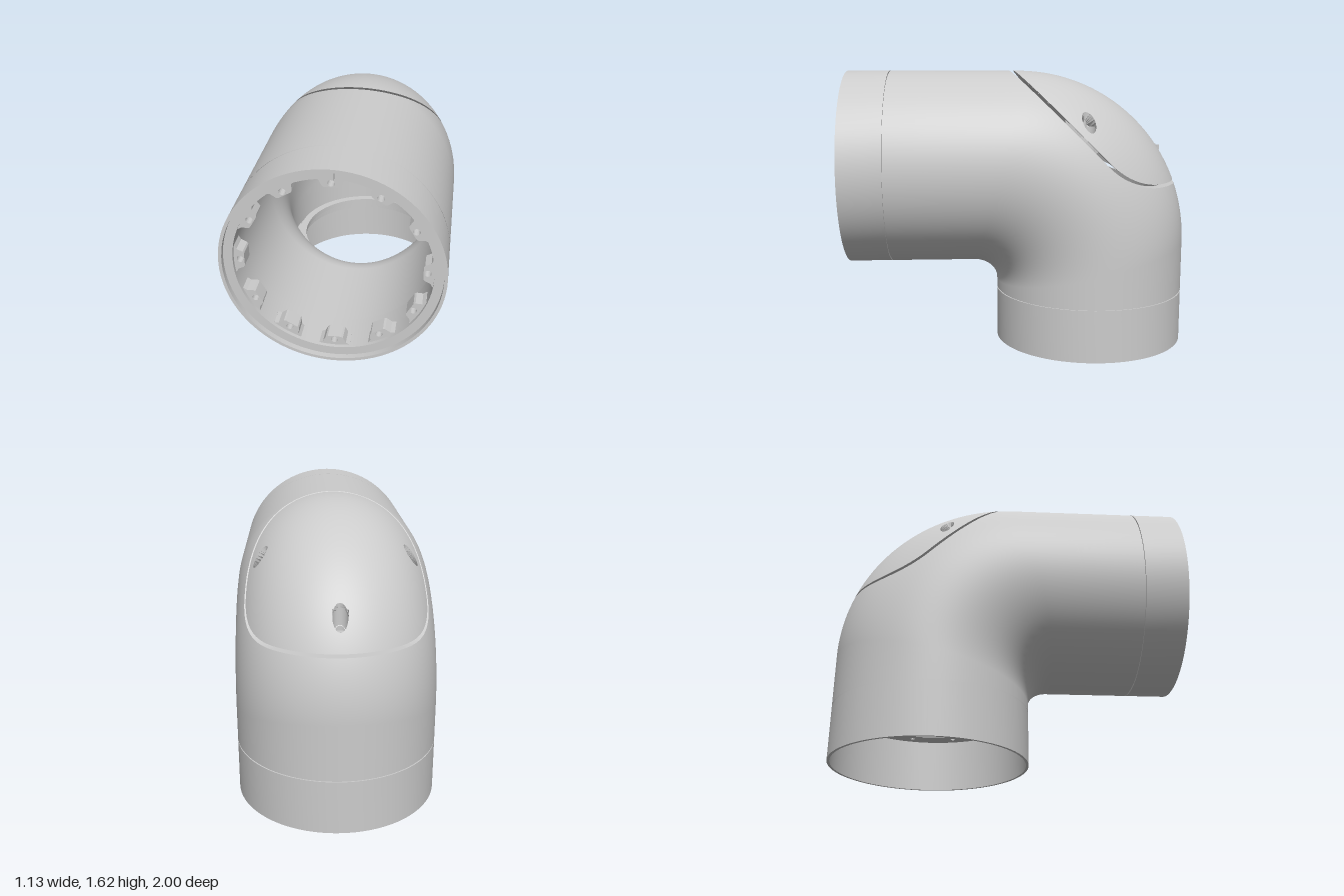
import * as THREE from 'three';
import { toCreasedNormals } from 'three/addons/utils/BufferGeometryUtils.js';

const R = 0.565, WALL = 0.06, INNER = (R - WALL) / R;
const AXIS_Y = 1.055, AXIS_Z = -0.435;
const mat = new THREE.MeshStandardMaterial({ color: 0xcccccc, side: THREE.DoubleSide });
const V = (x, y, z) => new THREE.Vector3(x, y, z);
const HOLES = [[0, -0.85], [0.41, -0.37], [-0.41, -0.37]];

function add(parent, name, geometry, x = 0, y = 0, z = 0) {
  const m = new THREE.Mesh(geometry, mat);
  m.name = name;
  m.position.set(x, y, z);
  parent.add(m);
  return m;
}

// Pipe surface: s 0..1 front straight, 1..2 bend, 2..3 lower straight; a is the angle round the pipe
function pipePoint(s, a, k) {
  const t = THREE.MathUtils.clamp(s - 1, 0, 1) * Math.PI / 2;
  const f = Math.max(0, 1 - s), b = Math.max(0, s - 2);
  const inn = V(0, 0.36 + 0.13 * Math.cos(t), 0.27 - 0.14 * Math.sin(t));
  const out = V(0, 0.62 + Math.cos(t), -Math.sin(t));
  inn.z += f * (0.75 - inn.z);
  out.z += f * (0.75 - out.z);
  inn.y += b * (0.31 - inn.y);
  out.y += b * (0.31 - out.y);
  const mid = inn.clone().add(out).multiplyScalar(0.5);
  const p = mid.clone().addScaledVector(out.sub(mid), k * Math.cos(a));
  p.x = R * k * Math.sin(a);
  return p;
}

function pipeVertex(s, a, k) {
  const e = 1e-4;
  const da = pipePoint(s, a + e, k).sub(pipePoint(s, a - e, k));
  const ds = pipePoint(s + e, a, k).sub(pipePoint(s - e, a, k));
  return { p: pipePoint(s, a, k), n: da.cross(ds).normalize() };
}

function pipeTriangles(rows, a0, a1, cols, k) {
  const grid = rows.map(s => Array.from({ length: cols + 1 }, (_, j) => pipeVertex(s, a0 + (a1 - a0) * j / cols, k)));
  const tris = [];
  for (let i = 0; i + 1 < rows.length; i++) for (let j = 0; j < cols; j++) {
    const a = grid[i][j], b = grid[i][j + 1], c = grid[i + 1][j + 1], d = grid[i + 1][j];
    tris.push([a, b, c], [a, c, d]);
  }
  return tris;
}

// Keep the part of the surface where f > 0 and note the cut edges
function clip(tris, f, edges) {
  const kept = [];
  for (const tri of tris) {
    const d = tri.map(v => f(v.p)), poly = [], cut = [];
    for (let i = 0; i < 3; i++) {
      const j = (i + 1) % 3;
      if (d[i] >= 0) poly.push(tri[i]);
      if ((d[i] >= 0) !== (d[j] >= 0)) {
        const t = d[i] / (d[i] - d[j]);
        const v = { p: tri[i].p.clone().lerp(tri[j].p, t), n: tri[i].n.clone().lerp(tri[j].n, t).normalize() };
        poly.push(v);
        cut.push(v);
      }
    }
    for (let i = 1; i + 1 < poly.length; i++) kept.push([poly[0], poly[i], poly[i + 1]]);
    if (cut.length === 2) edges.push([cut[0], cut[1], f]);
  }
  return kept;
}

// Move a cut point through the wall while staying on the cut
function throughWall(v, f) {
  const e = 1e-4;
  const g = V(...['x', 'y', 'z'].map(c => {
    const q = v.p.clone(), r = v.p.clone();
    q[c] += e;
    r[c] -= e;
    return f(q) - f(r);
  })).normalize();
  const c = v.n.dot(g);
  const dir = v.n.clone().negate().addScaledVector(g, c);
  return v.p.clone().addScaledVector(dir, WALL / Math.max(0.2, 1 - c * c));
}

function toGeometry(tris, sign) {
  const pos = [], nor = [];
  for (const t of tris) for (const v of sign > 0 ? t : [t[0], t[2], t[1]]) {
    pos.push(v.p.x, v.p.y, v.p.z);
    nor.push(v.n.x * sign, v.n.y * sign, v.n.z * sign);
  }
  const g = new THREE.BufferGeometry();
  g.setAttribute('position', new THREE.Float32BufferAttribute(pos, 3));
  g.setAttribute('normal', new THREE.Float32BufferAttribute(nor, 3));
  return g;
}

function shell(parent, name, rows, a0, a1, cols, cuts) {
  const group = new THREE.Group();
  group.name = name;
  parent.add(group);
  for (const [label, k, sign] of [['OuterSkin', 1, 1], ['InnerSkin', INNER, -1]]) {
    let tris = pipeTriangles(rows, a0, a1, cols, k);
    const edges = [];
    for (const f of cuts) tris = clip(tris, f, edges);
    add(group, name + label, toGeometry(tris, sign));
    if (sign < 0) continue;
    const pts = [];
    for (const [a, b, f] of edges) {
      const c = throughWall(b, f), d = throughWall(a, f);
      pts.push(a.p, b.p, c, a.p, c, d);
    }
    const g = new THREE.BufferGeometry().setFromPoints(pts);
    g.computeVertexNormals();
    add(group, name + 'CutEdge', g);
  }
}

// Lid outline: a 45 degree line blended into a level one, cut straight across
function seam(p) {
  const a = (p.y - p.z - 1.58) / Math.SQRT2, b = p.y - 0.97, k = 0.14;
  const h = Math.max(k - Math.abs(a - b), 0) / k;
  return Math.min(a, b) - h * h * k / 4;
}

const range = (a, b, n) => Array.from({ length: n }, (_, i) => a + (b - a) * i / n);
const lathe = pts => toCreasedNormals(
  new THREE.LatheGeometry([...pts, pts[0]].map(p => new THREE.Vector2(...p)), 96), 0.6);
const circle = (x, y, r) => new THREE.Path().absarc(x, y, r, 0, Math.PI * 2, true);
const plate = (shape, depth, seg = 24) =>
  new THREE.ExtrudeGeometry(shape, { depth, bevelEnabled: false, curveSegments: seg });

export function createModel() {
  const model = new THREE.Group();
  model.name = 'pipeElbow';

  // Bent body and the lid over its outer corner
  const bodyRows = [...range(0, 1, 12), ...range(1, 2, 60), ...range(2, 3, 4), 3];
  shell(model, 'elbowBody', bodyRows, -Math.PI, Math.PI, 96, [p => -seam(p) - 0.009]);
  const holeCuts = HOLES.map(([x, z]) => p => Math.hypot(p.x - x, p.z - z) - 0.04);
  shell(model, 'lid', [...range(0.85, 1.85, 110), 1.85], -1.85, 1.85, 150, [p => seam(p) - 0.009, ...holeCuts]);

  // Screw bosses under the lid
  HOLES.forEach(([x, z], i) => {
    const [low, floor, top] = i ? [1.115, 1.19, 1.31] : [1.0, 1.06, 1.18];
    const start = [-Math.PI / 2, Math.PI, 0][i];
    add(model, 'screwBoss', new THREE.CylinderGeometry(0.042, 0.042, top - low, 16, 1, true, start, Math.PI), x, (top + low) / 2, z);
    if (i) add(model, 'bossBlock', new THREE.BoxGeometry(0.025, top - low, 0.09), Math.sign(x) * 0.357, (top + low) / 2, z);
    const head = new THREE.Shape().absarc(0, 0, 0.041, 0, Math.PI * 2);
    head.holes.push(new THREE.Path([[-0.036, -0.008], [-0.036, 0.008], [0.036, 0.008], [0.036, -0.008]].map(p => new THREE.Vector2(...p))));
    const g = plate(head, floor - low);
    if (i) g.rotateZ(Math.PI / 2);
    add(model, 'slottedScrew', g.rotateX(-Math.PI / 2), x, low, z);
  });

  // Front collar with a recessed inner ring and a groove behind it
  add(model, 'frontCollar', lathe([
    [0.5, 0.74], [0.555, 0.74], [0.555, 0.756], [R, 0.756], [R, 1], [0.548, 1], [0.548, 0.97], [0.5, 0.97],
  ]).rotateX(Math.PI / 2), 0, AXIS_Y, 0);
  add(model, 'locatingKey', new THREE.BoxGeometry(0.04, 0.045, 0.05), 0, AXIS_Y + 0.53, 0.968);

  // Twelve drilled lugs inside the front collar
  const lug = new THREE.Shape([
    [-0.08, 0.51], [-0.08, 0.492], [-0.06, 0.482], [-0.045, 0.452], [-0.035, 0.446],
    [0.035, 0.446], [0.045, 0.452], [0.06, 0.482], [0.08, 0.492], [0.08, 0.51],
  ].map(p => new THREE.Vector2(...p)));
  lug.holes.push(circle(0, 0.467, 0.018));
  const lugGeometry = plate(lug, 0.09, 8);
  for (let i = 0; i < 12; i++) {
    add(model, 'mountingLug', lugGeometry, 0, AXIS_Y, 0.86).rotation.z = i * Math.PI / 6;
  }

  // Thin lower collar
  add(model, 'lowerCollar', lathe([
    [0.55, 0], [R, 0], [R, 0.303], [0.558, 0.303], [0.558, 0.315], [0.55, 0.315],
  ]), 0, 0, AXIS_Z);

  // Drilled flange and stepped lip inside the lower collar
  const flange = new THREE.Shape().absarc(0, 0, 0.556, 0, Math.PI * 2);
  flange.holes.push(circle(0, 0, 0.44));
  for (let i = 0; i < 12; i++) {
    const a = (i + 0.5) * Math.PI / 6;
    flange.holes.push(circle(0.49 * Math.cos(a), 0.49 * Math.sin(a), 0.014));
  }
  add(model, 'lowerFlange', plate(flange, 0.02, 48).rotateX(-Math.PI / 2), 0, 0.308, AXIS_Z);
  add(model, 'flangeLip', lathe([
    [0.44, 0.31], [0.46, 0.31], [0.46, 0.39], [0.415, 0.39], [0.415, 0.36], [0.44, 0.36],
  ]), 0, 0, AXIS_Z);

  return model;
}
